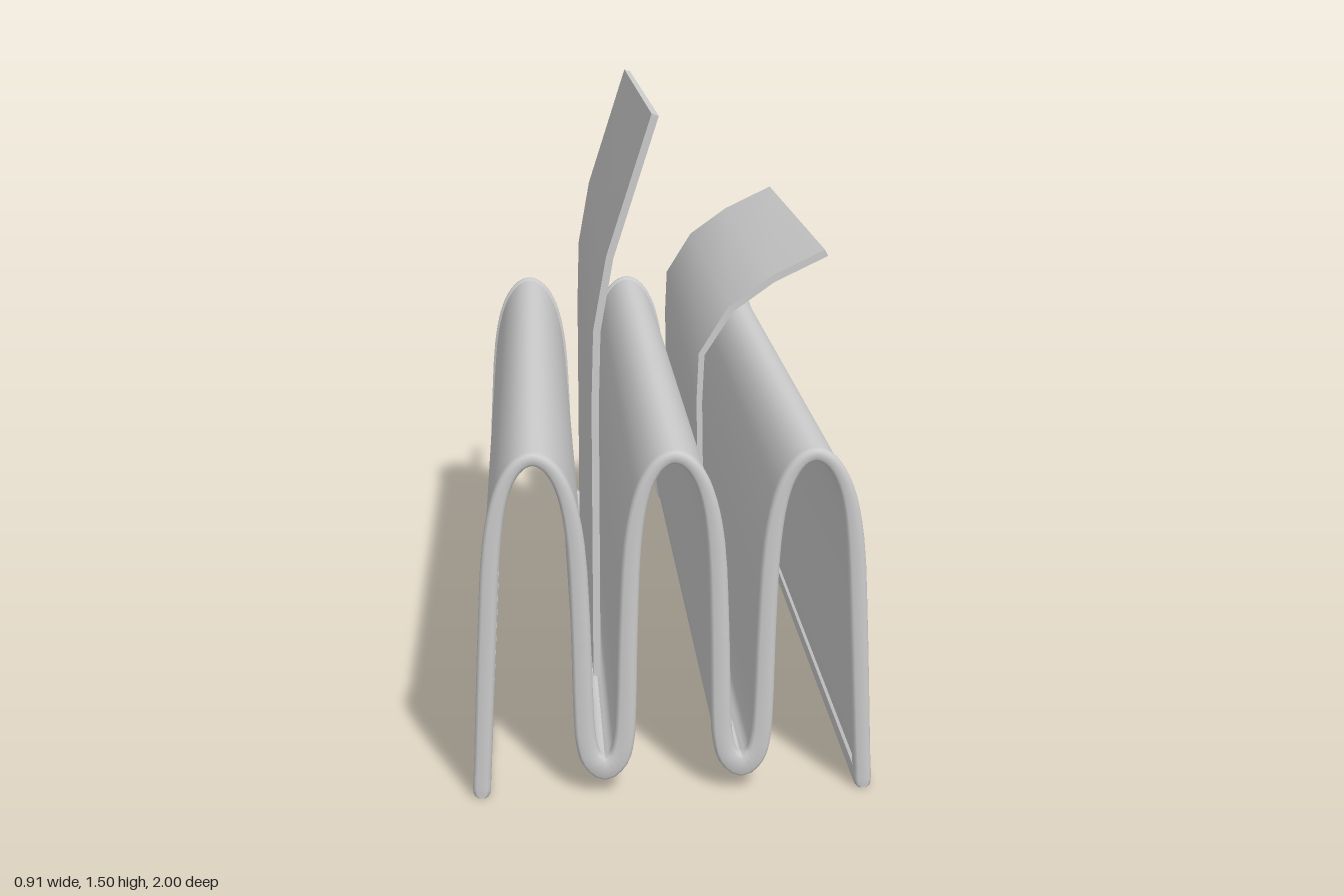
import * as THREE from 'three';
import { toCreasedNormals } from 'three/addons/utils/BufferGeometryUtils.js';

const material = new THREE.MeshStandardMaterial({ color: 0xcccccc });

// Sweeps a ribbon along z. path: Vector3(x, y, thickness); sections: [z, thinning].
// The thinning is skipped on path points where bead(point, index) is true.
function ribbon(name, path, sections, crease, bead = () => false) {
  const n = path.length, ring = 2 * n, positions = [], index = [];
  const normals = path.map((p, i) => {
    const a = path[Math.max(i - 1, 0)], b = path[Math.min(i + 1, n - 1)];
    return new THREE.Vector2(a.y - b.y, b.x - a.x).normalize();
  });
  for (const [z, thin] of sections) {
    const side = (i, s) => {
      const h = s * (path[i].z - (bead(path[i], i) && Math.abs(z) < 0.97 ? 0 : thin)) / 2;
      positions.push(path[i].x + normals[i].x * h, path[i].y + normals[i].y * h, z);
    };
    for (let i = 0; i < n; i++) side(i, 1);
    for (let i = n - 1; i >= 0; i--) side(i, -1);
  }
  // skin between sections
  for (let k = 0; k < sections.length - 1; k++) {
    for (let j = 0; j < ring; j++) {
      const a = k * ring + j, b = k * ring + (j + 1) % ring;
      index.push(a, a + ring, b, b, a + ring, b + ring);
    }
  }
  // end caps
  const last = (sections.length - 1) * ring;
  for (let i = 0; i < n - 1; i++) {
    const l0 = i, l1 = i + 1, r0 = ring - 1 - i, r1 = ring - 2 - i;
    index.push(r0, l1, r1, r0, l0, l1);
    index.push(last + r0, last + r1, last + l1, last + r0, last + l1, last + l0);
  }
  const geometry = new THREE.BufferGeometry();
  geometry.setAttribute('position', new THREE.Float32BufferAttribute(positions, 3));
  geometry.setIndex(index);
  const mesh = new THREE.Mesh(toCreasedNormals(geometry, crease), material);
  mesh.name = name;
  return mesh;
}

// Centre line of the folded stand: three arches, two valleys, two splayed legs
function standPath() {
  const pitch = 0.312;
  // offset from the arch centre, height, thickness (valley side up to the peak)
  const inner = [
    [0.126, 0.085, 0.049], [0.113, 0.13, 0.047], [0.108, 0.2, 0.046], [0.103, 0.4, 0.044],
    [0.093, 0.6, 0.041], [0.076, 0.7, 0.036], [0.055, 0.755, 0.032], [0.029, 0.788, 0.03],
  ];
  const leg = [
    [0.126, 0.002, 0.026], [0.1255, 0.009, 0.038], [0.124, 0.048, 0.04], [0.123, 0.06, 0.04],
    [0.116, 0.2, 0.041], [0.106, 0.4, 0.042], ...inner.slice(4),
  ];
  const points = [];
  for (let a = -1; a <= 1; a++) {
    const c = a * pitch;
    for (const [d, y, t] of a === -1 ? leg : inner) points.push(new THREE.Vector3(c - d, y, t));
    points.push(new THREE.Vector3(c, 0.8, 0.03));
    for (const [d, y, t] of [...(a === 1 ? leg : inner)].reverse()) points.push(new THREE.Vector3(c + d, y, t));
    if (a < 1) points.push(new THREE.Vector3(c + pitch / 2, 0.062, 0.054));
  }
  return new THREE.CatmullRomCurve3(points).getPoints((points.length - 1) * 3);
}

// Thin bent sheet standing in a valley
function sheet(name, points, zBack, zFront) {
  const path = points.map(([x, y, t = 0.018]) => new THREE.Vector3(x, y, t));
  return ribbon(name, path, [[zBack, 0], [zFront, 0]], 0.7);
}

export function createModel() {
  const group = new THREE.Group();
  group.name = 'foldedSheetStand';

  // Stand with a rounded, slightly raised rim around its edges
  const rim = [[1, 0.016], [0.996, 0.005], [0.987, 0], [0.972, 0], [0.966, 0.014]];
  const sections = [...rim.map(([z, t]) => [-z, t]), ...[...rim].reverse()];
  const path = standPath();
  const bead = (p) => Math.abs(p.x) > 0.4 && p.y < 0.05;
  group.add(ribbon('foldedStand', path, sections, 0.8, bead));

  // Two sheets held in the valleys
  group.add(sheet('tallSheet', [
    [-0.157, 0.09], [-0.157, 0.8], [-0.152, 0.98], [-0.12, 1.16], [-0.012, 1.497],
  ], -0.685, 0.53));
  group.add(sheet('curledSheet', [
    [0.147, 0.09, 0.012], [0.137, 0.35, 0.012], [0.127, 0.6, 0.014], [0.125, 0.72, 0.015],
    [0.13, 0.845, 0.016], [0.204, 0.963], [0.312, 1.041], [0.45, 1.108],
  ], -0.885, 0.225));
  return group;
}
